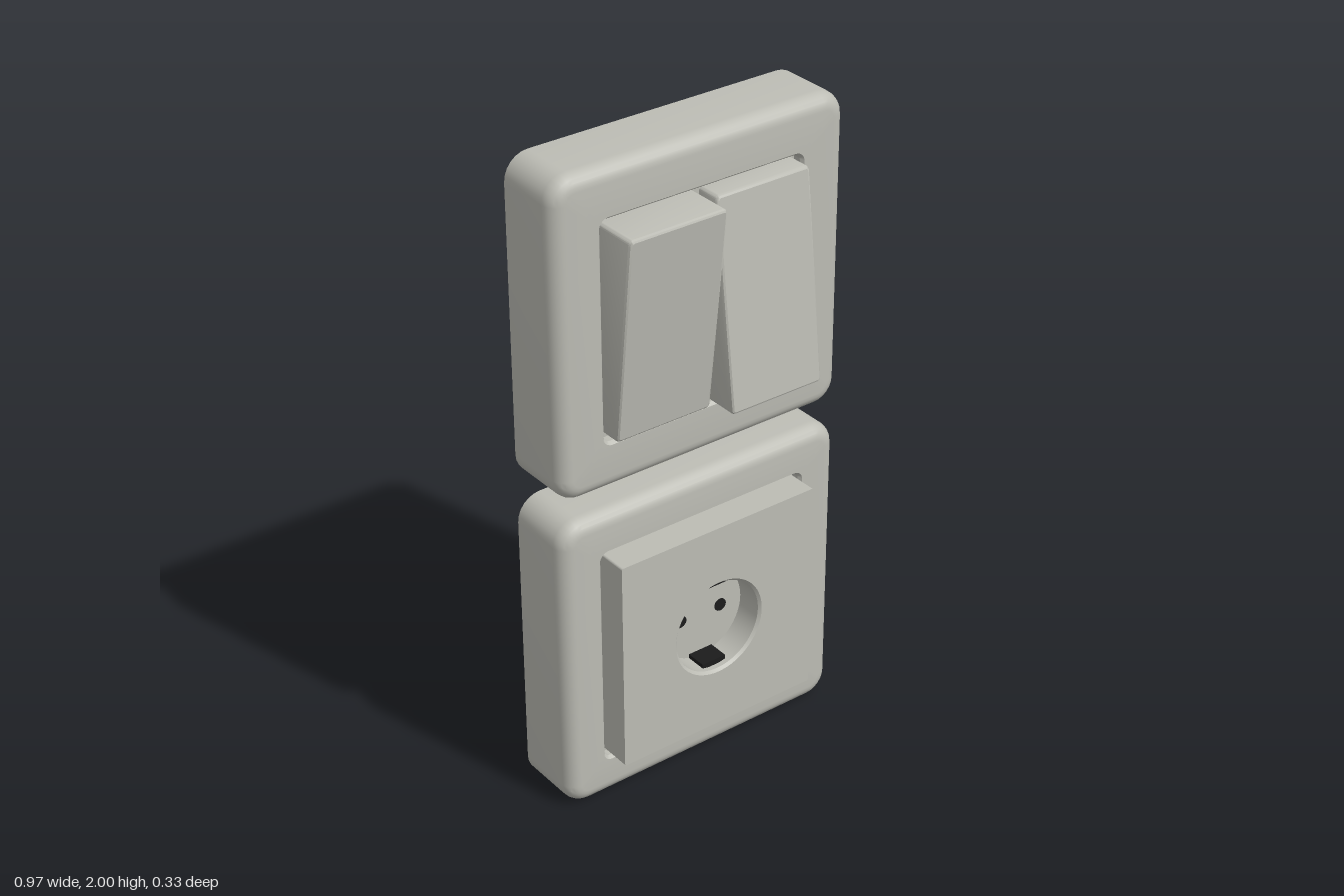
import * as THREE from 'three';
import { toCreasedNormals } from 'three/addons/utils/BufferGeometryUtils.js';

const plastic = new THREE.MeshStandardMaterial({ color: 0xbcbcb4 });
plastic.name = 'grey plastic';
const dark = new THREE.MeshStandardMaterial({ color: 0x1c1c1c });
dark.name = 'dark contact';

// Rounded rectangle, counter-clockwise seen from +z
function roundedRect(hw, hh, r, steps = 6) {
  const pts = [];
  [[1, 1], [-1, 1], [-1, -1], [1, -1]].forEach(([sx, sy], q) => {
    for (let i = 0; i <= steps; i++) {
      const a = (q + i / steps) * Math.PI / 2;
      pts.push([sx * (hw - r) + r * Math.cos(a), sy * (hh - r) + r * Math.sin(a)]);
    }
  });
  return pts;
}

// Skin over rounded-rectangle rings [halfWidth, halfHeight, radius, z];
// tilt slants the z of a ring along y. Either join last to first, or cap the front.
function loft(rings, { joined = false, tilt = () => 0 } = {}) {
  const pos = [], idx = [];
  rings.forEach(([hw, hh, r, z], k) => {
    for (const [x, y] of roundedRect(hw, hh, r)) pos.push(x, y, z + tilt(k) * y);
  });
  const n = pos.length / 3 / rings.length;
  const spans = joined ? rings.length : rings.length - 1;
  for (let i = 0; i < spans; i++) {
    const p = i * n, q = ((i + 1) % rings.length) * n;
    for (let j = 0; j < n; j++) {
      const k = (j + 1) % n;
      idx.push(p + j, p + k, q + k, p + j, q + k, q + j);
    }
  }
  if (!joined) {
    const last = (rings.length - 1) * n;
    pos.push(0, 0, rings[rings.length - 1][3]);
    for (let j = 0; j < n; j++) idx.push(last + j, last + (j + 1) % n, rings.length * n);
  }
  const geo = new THREE.BufferGeometry();
  geo.setAttribute('position', new THREE.Float32BufferAttribute(pos, 3));
  geo.setIndex(idx);
  return toCreasedNormals(geo, 0.5);
}

function add(group, name, geo, mat, x = 0, y = 0, z = 0) {
  const mesh = new THREE.Mesh(geo, mat);
  mesh.name = name;
  mesh.position.set(x, y, z);
  group.add(mesh);
  return mesh;
}

const BACK = -0.165, FRONT = 0.045, W = 0.485, H = 0.4825, R = 0.075, ROUND = 0.045;

// Frame with rounded front rim, a square opening and the panel behind it
function makeUnit(name, y, open) {
  const unit = new THREE.Group();
  unit.name = name;
  unit.position.y = y;
  const rings = [[W, H, R, BACK]];
  for (let i = 0; i <= 6; i++) {
    const a = i / 6 * Math.PI / 2, d = ROUND * (1 - Math.cos(a));
    rings.push([W - d, H - d, R - d, FRONT - ROUND + ROUND * Math.sin(a)]);
  }
  rings.push([open, open, 0.03, FRONT]);
  rings.push([open - 0.008, open - 0.008, 0.022, FRONT - 0.01]);
  rings.push([open - 0.008, open - 0.008, 0.022, BACK]);
  add(unit, 'frame', loft(rings, { joined: true }), plastic);
  add(unit, 'backPanel', new THREE.BoxGeometry(2 * open, 2 * open, 0.145), plastic, 0, 0, -0.0625);
  return unit;
}

export function createModel() {
  const model = new THREE.Group();
  model.name = 'switchAndSocket';

  // Double switch: two rockers tipped opposite ways
  const lightSwitch = makeUnit('doubleSwitch', 2 - H, 0.34);
  for (const side of [-1, 1]) {
    const hw = 0.158, hh = 0.316;
    const geo = loft([
      [hw, hh, 0.015, 0],
      [hw, hh, 0.015, 0.115],
      [hw - 0.003, hh - 0.003, 0.012, 0.121],
      [hw - 0.008, hh - 0.008, 0.007, 0.124],
    ], { tilt: k => (k ? -side * 0.118 : 0) });
    add(lightSwitch, side < 0 ? 'rightRocker' : 'leftRocker', geo, plastic, side * 0.167, 0.003, 0);
  }
  model.add(lightSwitch);

  // Power socket: square plate with a round recess
  const socket = makeUnit('socket', H, 0.36);
  const plate = new THREE.Shape(roundedRect(0.34, 0.34, 0.006).map(p => new THREE.Vector2(...p)));
  plate.holes.push(new THREE.Path().absarc(0, 0, 0.156, 0, Math.PI * 2, true));
  const plateGeo = new THREE.ExtrudeGeometry(plate, { depth: 0.12, bevelEnabled: false, curveSegments: 32 });
  add(socket, 'socketPlate', plateGeo, plastic, 0, 0.003, 0);

  const floor = 0.03;
  const cup = new THREE.LatheGeometry(
    [[0.156, 0.12], [0.148, 0.112], [0.148, floor], [0, floor]].map(p => new THREE.Vector2(...p)), 64);
  cup.rotateX(Math.PI / 2);
  add(socket, 'socketRecess', toCreasedNormals(cup, 0.5), plastic, 0, 0.003, 0);

  // Pin holes and earth contacts
  for (const s of [-1, 1]) {
    const pin = new THREE.CylinderGeometry(0.02, 0.02, 0.004, 24).rotateX(Math.PI / 2);
    add(socket, 'pinHole', pin, dark, s * 0.072, 0.003, floor + 0.001);
    add(socket, 'earthContact', new THREE.BoxGeometry(0.082, 0.018, 0.065), dark, 0, 0.003 + s * 0.138, floor + 0.033);
  }
  model.add(socket);
  return model;
}
